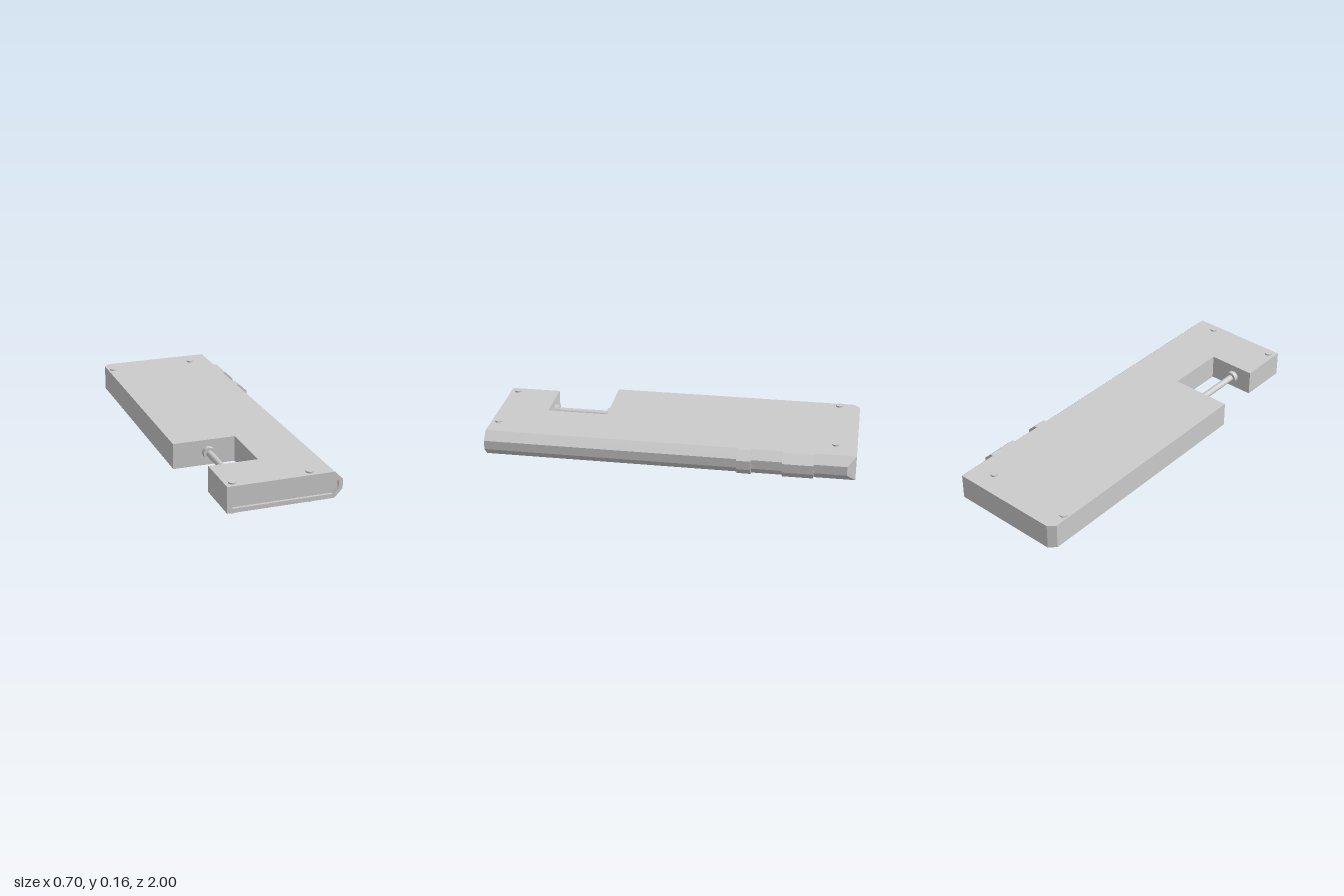
import * as THREE from 'three';

const Y = [0.012, 0.058, 0.108, 0.152]; // heights where the edge bevel turns
const FACE = 0.985;                     // depth of the recessed front panel

const poly = (Kind, pts) => new Kind(pts.map(([x, y]) => new THREE.Vector2(x, y)));

export function createModel() {
  const group = new THREE.Group();
  const flat = new THREE.MeshStandardMaterial({ color: 0xcccccc, flatShading: true });
  const smooth = new THREE.MeshStandardMaterial({ color: 0xcccccc });

  function add(name, geometry, material = flat) {
    const mesh = new THREE.Mesh(geometry, material);
    mesh.name = name;
    group.add(mesh);
    return mesh;
  }

  // Extrude a front-view shape between two depths
  function extrudeZ(shape, z0, z1) {
    return new THREE.ExtrudeGeometry(shape, { depth: z1 - z0, bevelEnabled: false }).translate(0, 0, z0);
  }

  // Body: plan outline with the side notch, given as (x, -z)
  const plan = poly(THREE.Shape, [
    [-0.275, -FACE], [0.332, -FACE], [0.332, 0.955], [0.288, 1], [-0.315, 1], [-0.35, 0.965],
    [-0.35, -0.39], [-0.01, -0.39], [-0.01, -0.725], [-0.275, -0.725],
  ]);
  const body = new THREE.ExtrudeGeometry(plan, { depth: 3, steps: 3, bevelEnabled: false });
  body.rotateX(-Math.PI / 2);
  // Draw in the top and bottom levels to bevel the right-hand long edge
  const p = body.attributes.position;
  for (let i = 0; i < p.count; i++) {
    const level = Math.round(p.getY(i));
    p.setY(i, Y[level]);
    if ((level === 0 || level === 3) && p.getX(i) > 0.3) {
      p.setX(i, 0.288);
      if (p.getZ(i) < 0) p.setZ(i, -1);
    }
  }
  body.computeVertexNormals();
  add('body', body);

  // Raised rim around the recessed front panel
  const rim = poly(THREE.Shape, [
    [-0.275, Y[0]], [0.288, Y[0]], [0.332, Y[1]], [0.332, Y[2]], [0.288, Y[3]], [-0.275, Y[3]],
  ]);
  rim.holes.push(poly(THREE.Path, [
    [-0.25, 0.035], [-0.25, 0.13], [0.279, 0.13], [0.31, 0.1], [0.31, 0.065], [0.279, 0.035],
  ]));
  add('frontRim', extrudeZ(rim, FACE, 1));

  // Two buttons wrapped around the bevelled edge
  const button = poly(THREE.Shape, [
    [0.288, Y[0]], [0.305, Y[0]], [0.35, Y[1]], [0.35, Y[2]], [0.305, Y[3]], [0.288, Y[3]],
    [0.332, Y[2]], [0.332, Y[1]],
  ]);
  add('longSideButton', extrudeZ(button, -0.78, -0.615));
  add('shortSideButton', extrudeZ(button, -0.45, -0.375));

  // Screw heads above and feet below
  for (const [x, z] of [[-0.32, -0.885], [0.17, -0.885], [-0.235, 0.96], [0.17, 0.96]]) {
    add('screwHead', new THREE.CylinderGeometry(0.02, 0.02, 0.008, 24), smooth).position.set(x, 0.156, z);
    add('foot', new THREE.CylinderGeometry(0.02, 0.02, 0.012, 24), smooth).position.set(x, 0.006, z);
  }

  // Pin across the notch with a collar at each end
  function pinPart(name, radius, z0, z1) {
    const geometry = new THREE.CylinderGeometry(radius, radius, z1 - z0, 32).rotateX(Math.PI / 2);
    add(name, geometry, smooth).position.set(-0.158, 0.083, (z0 + z1) / 2);
  }
  pinPart('pin', 0.018, 0.39, 0.725);
  pinPart('backCollar', 0.033, 0.39, 0.417);
  pinPart('frontCollar', 0.033, 0.698, 0.725);

  return group;
}
